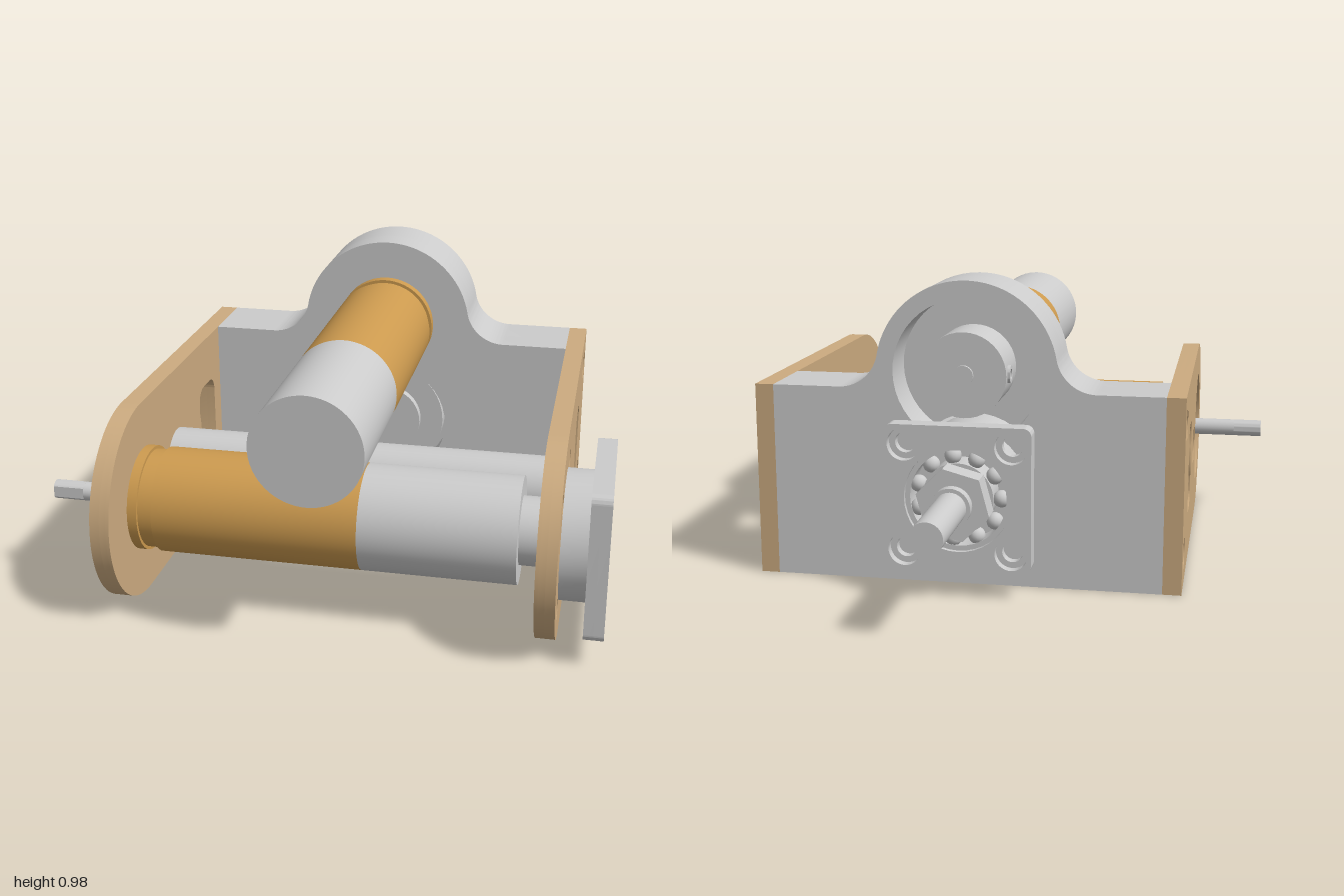
import * as THREE from 'three';
import { toCreasedNormals } from 'three/addons/utils/BufferGeometryUtils.js';

const grey = new THREE.MeshStandardMaterial({ color: 0xcccccc });
const tan = new THREE.MeshStandardMaterial({ color: 0xccab80 });
const brass = new THREE.MeshStandardMaterial({ color: 0xcc9a4f });
const PI = Math.PI;

function add(parent, name, geometry, material = grey) {
  const mesh = new THREE.Mesh(geometry, material);
  mesh.name = name;
  parent.add(mesh);
  return mesh;
}

function group(parent, name, x, y, z, turn = 0) {
  const g = new THREE.Group();
  g.name = name;
  g.position.set(x, y, z);
  g.rotation.y = turn;
  parent.add(g);
  return g;
}

const circle = (x, y, r) => new THREE.Path().absarc(x, y, r, 0, PI * 2, false);

function roundedRect(x0, y0, x1, y1, r) {
  const s = new THREE.Shape();
  s.absarc(x1 - r, y0 + r, r, -PI / 2, 0, false);
  s.absarc(x1 - r, y1 - r, r, 0, PI / 2, false);
  s.absarc(x0 + r, y1 - r, r, PI / 2, PI, false);
  s.absarc(x0 + r, y0 + r, r, PI, PI * 1.5, false);
  s.closePath();
  return s;
}

// Extrude an outline with holes from z0 to z1
function slab(shape, holes, z0, z1) {
  shape.holes = holes;
  const g = new THREE.ExtrudeGeometry(shape, { depth: z1 - z0, bevelEnabled: false, curveSegments: 20 });
  return toCreasedNormals(g.translate(0, 0, z0), 0.6);
}

const ring = (ro, ri, z0, z1) => slab(new THREE.Shape().absarc(0, 0, ro, 0, PI * 2, false), [circle(0, 0, ri)], z0, z1);

// Solid cylinder along z
const rod = (r, z0, z1, sides = 40) =>
  new THREE.CylinderGeometry(r, r, z1 - z0, sides).rotateX(PI / 2).translate(0, 0, (z0 + z1) / 2);

// Side plate outline: local x runs along world z
function plateShape() {
  const s = new THREE.Shape();
  s.moveTo(-0.445, 0);
  s.lineTo(0.597, 0);
  s.absarc(0.597, 0.315, 0.315, -PI / 2, PI / 2, false);
  s.lineTo(-0.445, 0.63);
  s.closePath();
  return s;
}

// Rounded window with a bulge in its front edge
function slotPath() {
  const s = new THREE.Path();
  s.absarc(-0.08, 0.22, 0.05, PI, PI * 1.5, false);
  s.absarc(-0.01, 0.22, 0.05, -PI / 2, 0, false);
  s.lineTo(0.04, 0.26);
  s.quadraticCurveTo(0.02, 0.317, 0.04, 0.375);
  s.absarc(-0.01, 0.415, 0.05, 0, PI / 2, false);
  s.absarc(-0.08, 0.415, 0.05, PI / 2, PI, false);
  s.closePath();
  return s;
}

function sidePlate(root, name, outerX, side, endHoles, floorHoles) {
  const plate = group(root, name, outerX, 0, 0, -PI / 2);
  const bolts = (r) => [0.105, 0.525].map((y) => circle(-0.34, y, r));
  const common = () => [slotPath(), circle(0.283, 0.315, 0.065)];
  // counterbored layer, screw layer, closed inner layer
  const layers = [
    [0, 0.03, [...bolts(0.05), ...endHoles()]],
    [0.03, 0.05, [...bolts(0.028), ...floorHoles()]],
    [0.05, 0.06, []],
  ];
  for (const [d0, d1, holes] of layers) {
    const z = side > 0 ? [d0, d1] : [-d1, -d0];
    add(plate, name + 'Layer', slab(plateShape(), [...common(), ...holes], ...z), tan);
  }
}

// Square flanged ball bearing, facing local +z
function bearing(root, name, x, y, z, turn) {
  const b = group(root, name, x, y, z, turn);
  const corners = (r) => [-0.168, 0.168].flatMap((u) => [-0.168, 0.168].map((v) => circle(u, v, r)));
  add(b, 'bearingCollar', ring(0.198, 0.17, 0, 0.08));
  add(b, 'bearingFloor', rod(0.175, 0, 0.04));
  for (const [r, z0, z1] of [[0.033, 0.08, 0.11], [0.052, 0.11, 0.14]]) {
    add(b, 'flangePlate', slab(roundedRect(-0.23, -0.23, 0.23, 0.23, 0.025), [circle(0, 0, 0.168), ...corners(r)], z0, z1));
  }
  add(b, 'outerRace', ring(0.17, 0.152, 0.04, 0.125));
  add(b, 'innerRace', ring(0.112, 0.065, 0.02, 0.13));
  for (let i = 0; i < 11; i++) {
    const a = (i / 11) * PI * 2;
    add(b, 'ball', new THREE.SphereGeometry(0.027, 14, 10).translate(0.133 * Math.cos(a), 0.133 * Math.sin(a), 0.105));
  }
  return b;
}

// Gear motor along local z; gearbox end at 0, can towards +z
function gearMotor(root, name, x, y, z, turn, grooveStart, boxEnd, end) {
  const m = group(root, name, x, y, z, turn);
  add(m, 'gearboxFlange', rod(0.165, 0, grooveStart, 64), brass);
  add(m, 'gearboxGroove', rod(0.155, grooveStart, grooveStart + 0.046, 64), brass);
  add(m, 'gearboxBody', rod(0.165, grooveStart + 0.046, boxEnd, 64), brass);
  add(m, 'motorCan', rod(0.165, boxEnd, end, 64));
  return m;
}

function rearBlock(root) {
  const block = group(root, 'rearBlock', 0, 0, 0);
  const outline = () => {
    const s = new THREE.Shape();
    const a = Math.atan2(0.075, 0.413);
    s.moveTo(-0.58, 0);
    s.lineTo(0.675, 0);
    s.lineTo(0.675, 0.63);
    s.absarc(0.458, 0.76, 0.13, -PI / 2, -PI + a, true);
    s.absarc(0.045, 0.685, 0.29, a, PI - a, false);
    s.absarc(-0.368, 0.76, 0.13, -a, -PI / 2, true);
    s.lineTo(-0.58, 0.63);
    s.closePath();
    return s;
  };
  // gear pocket: two overlapping circles
  const pocket = new THREE.Path();
  const up = Math.atan2(0.2056, 0.114), low = Math.atan2(0.1644, 0.114);
  pocket.absarc(0.045, 0.685, 0.235, -up, PI + up, false);
  pocket.absarc(0.045, 0.315, 0.2, PI - low, PI * 2 + low, false);
  pocket.closePath();
  add(block, 'blockBack', slab(outline(), [pocket], -0.445, -0.3));
  add(block, 'blockFront', slab(outline(), [circle(0.045, 0.315, 0.215)], -0.3, -0.2));
  // driven gear seen through the front opening
  const gear = group(block, 'drivenGear', 0.045, 0.315, 0);
  add(gear, 'gearDisc', rod(0.2, -0.44, -0.24));
  add(gear, 'gearHub', rod(0.12, -0.24, -0.21));
  // pinion on the upper motor
  const pinion = group(block, 'pinion', 0.045, 0.685, 0);
  add(pinion, 'pinionHub', rod(0.135, -0.48, -0.3));
  add(pinion, 'pinionShaft', rod(0.032, -0.49, -0.47, 24));
  add(pinion, 'setScrew', ring(0.028, 0.016, 0.128, 0.142)).rotation.y = -PI / 2;
  pinion.children[2].position.z = -0.43;
}

export function createModel() {
  const root = new THREE.Group();
  root.name = 'gearedDrive';

  rearBlock(root);

  // Side plates
  const screwHoles = () => [0.43, 0.765].flatMap((z) => [0.15, 0.485].map((y) => circle(z, y, 0.03)));
  const motorScrews = () => [-1, 1].flatMap((s) => [circle(0.6, 0.315 + s * 0.115, 0.02), circle(0.6 + s * 0.115, 0.315, 0.02)]);
  sidePlate(root, 'leftPlate', 0.735, 1, screwHoles, () => []);
  sidePlate(root, 'rightPlate', -0.64, -1, () => [circle(0.6, 0.315, 0.2)], motorScrews);

  // Hollow spacer bar between the plates
  const spacer = group(root, 'spacerBar', 0, 0.315, 0.283, PI / 2);
  add(spacer, 'spacerTube', ring(0.105, 0.035, -0.58, 0.675));
  for (const [z0, z1] of [[-0.635, -0.58], [0.675, 0.73]]) add(spacer, 'spacerEnd', ring(0.065, 0.035, z0, z1));

  // Motors
  gearMotor(root, 'upperMotor', 0.045, 0.685, -0.21, 0, 0.045, 0.725, 1.21);
  const lower = gearMotor(root, 'lowerMotor', -0.58, 0.315, 0.6, PI / 2, 0.03, 0.715, 1.19);
  add(lower, 'rearJournal', rod(0.105, 1.19, 1.26));
  add(lower, 'shaftBoss', rod(0.07, -0.045, 0), tan);
  add(lower, 'driveShaft', rod(0.03, -0.2, 0, 24));
  const dShape = new THREE.Shape().absarc(0, 0, 0.03, -PI * 0.8, PI * 0.8, false);
  add(lower, 'driveShaftTip', slab(dShape, [], -0.3, -0.2));

  // Bearings, with the output shaft in the rear one
  bearing(root, 'leftBearing', 0.735, 0.317, 0.6, PI / 2);
  const rear = bearing(root, 'rearBearing', 0.045, 0.317, -0.445, PI);
  add(rear, 'shaftCore', rod(0.066, 0.03, 0.14));
  const nut = toCreasedNormals(rod(0.117, 0.135, 0.21, 6), 0.5).rotateZ(PI / 12);
  add(rear, 'shaftNut', nut);
  add(rear, 'shaftCollar', rod(0.062, 0.21, 0.243));
  add(rear, 'outputShaft', rod(0.05, 0.243, 0.555));

  return root;
}
